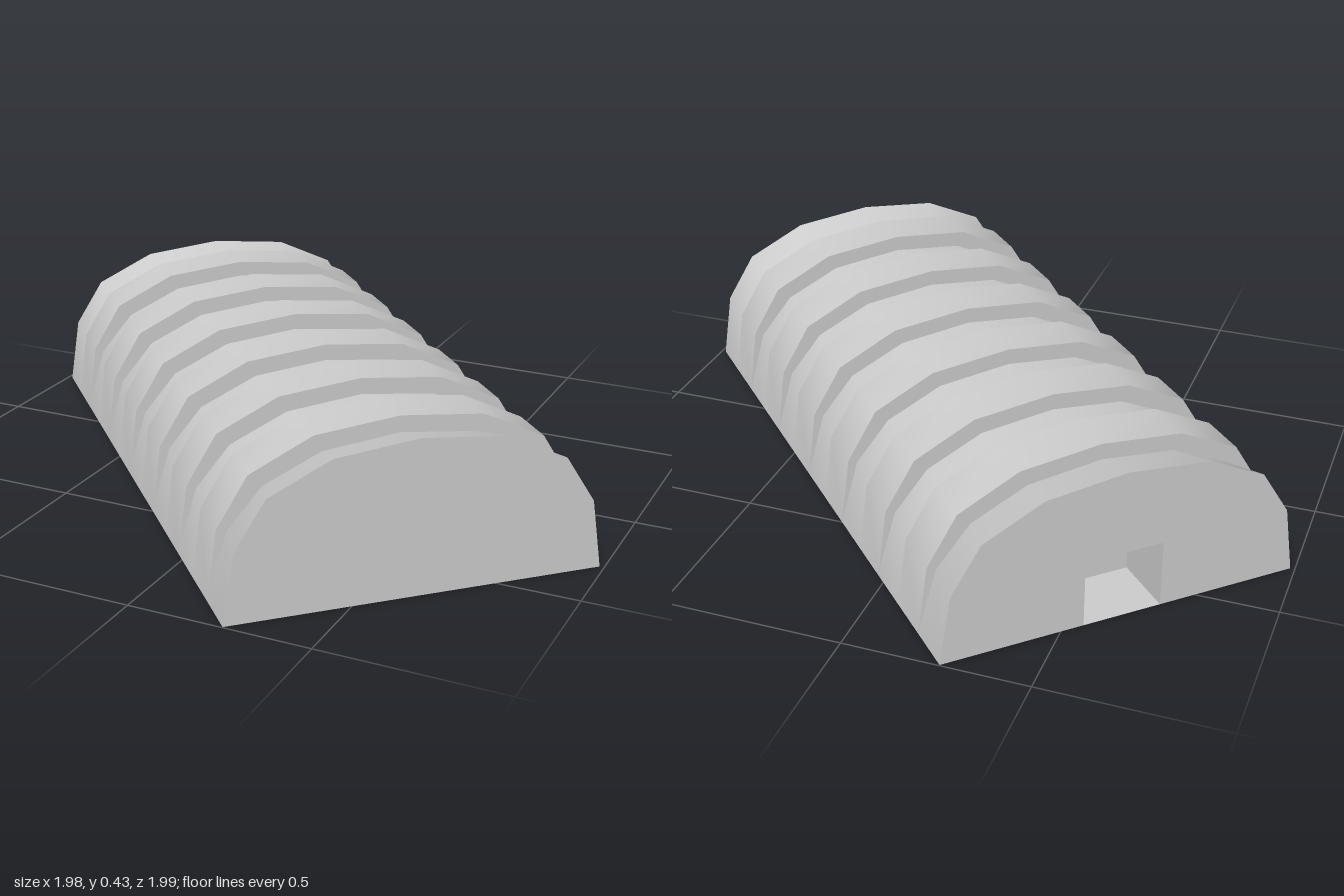
import * as THREE from 'three';
import { toCreasedNormals } from 'three/addons/utils/BufferGeometryUtils.js';

const HALF_LENGTH = 0.9, SEGMENTS = 13, TURN = 0.768;
const NOTCH = { half: 0.11, height: 0.19, depth: 0.18 };

// Half cross-sections from the base up to the ridge; mirrored into full arches
const arch = (half) => [...half, ...half.slice(0, -1).reverse().map(([x, y]) => [-x, y])];
const END = arch([[0.504, 0], [0.475, 0.19], [0.393, 0.32], [0.225, 0.4], [0, 0.424]]);
const RIB = arch([[0.504, 0], [0.478, 0.19], [0.396, 0.324], [0.227, 0.406], [0, 0.43]]);
const GROOVE = arch([[0.504, 0], [0.453, 0.18], [0.36, 0.29], [0.205, 0.362], [0, 0.385]]);

// Skin through a list of { z, profile } rings
function loft(rings) {
  const pos = [], index = [], n = rings[0].profile.length;
  rings.forEach(({ z, profile }) => profile.forEach(([x, y]) => pos.push(x, y, z)));
  for (let k = 0; k < rings.length - 1; k++) {
    for (let j = 0; j < n - 1; j++) {
      const a = k * n + j, b = a + 1, c = b + n, d = a + n;
      index.push(a, b, c, a, c, d);
    }
  }
  const g = new THREE.BufferGeometry();
  g.setAttribute('position', new THREE.Float32BufferAttribute(pos, 3));
  g.setIndex(index);
  return toCreasedNormals(g, 0.7);
}

export function createModel() {
  const model = new THREE.Group();
  const hut = new THREE.Group();
  hut.name = 'hut';
  hut.rotation.y = TURN;
  model.add(hut);

  const solid = new THREE.MeshStandardMaterial({ color: 0xcccccc });
  const thin = new THREE.MeshStandardMaterial({ color: 0xcccccc, side: THREE.DoubleSide });
  const add = (name, geometry, material = solid) => {
    const mesh = new THREE.Mesh(geometry, material);
    mesh.name = name;
    hut.add(mesh);
    return mesh;
  };

  // Ribbed roof: grooves and ribs alternate, the end grooves flare out to the end walls
  const rings = [];
  const step = (2 * HALF_LENGTH) / SEGMENTS;
  for (let i = 0; i < SEGMENTS; i++) {
    const z = -HALF_LENGTH + i * step;
    const body = i % 2 ? RIB : GROOVE;
    rings.push({ z, profile: i === 0 ? END : body });
    rings.push({ z: z + step, profile: i === SEGMENTS - 1 ? END : body });
  }
  add('ribbedRoof', loft(rings));

  // End walls; the back one has a doorway cut from its lower edge
  const outline = END.map(([x, y]) => new THREE.Vector2(x, y));
  const { half, height, depth } = NOTCH;
  const door = [[-half, 0], [-half, height], [half, height], [half, 0]]
    .map(([x, y]) => new THREE.Vector2(x, y));
  add('frontWall', new THREE.ShapeGeometry(new THREE.Shape(outline))).position.z = HALF_LENGTH;
  const back = add('backWall', new THREE.ShapeGeometry(new THREE.Shape([...outline, ...door])));
  back.rotation.y = Math.PI;
  back.position.z = -HALF_LENGTH;

  // Doorway recess
  const mid = -HALF_LENGTH + depth / 2;
  for (const s of [-1, 1]) {
    const jamb = add(s > 0 ? 'leftDoorJamb' : 'rightDoorJamb', new THREE.PlaneGeometry(depth, height), thin);
    jamb.rotation.y = -s * Math.PI / 2;
    jamb.position.set(s * half, height / 2, mid);
  }
  const lintel = add('doorLintel', new THREE.PlaneGeometry(2 * half, depth), thin);
  lintel.rotation.x = Math.PI / 2;
  lintel.position.set(0, height, mid);
  const panel = add('doorPanel', new THREE.PlaneGeometry(2 * half, height), thin);
  panel.rotation.y = Math.PI;
  panel.position.set(0, height / 2, -HALF_LENGTH + depth);

  // Floor
  const floor = add('floor', new THREE.PlaneGeometry(2 * END[0][0], 2 * HALF_LENGTH), thin);
  floor.rotation.x = Math.PI / 2;

  return model;
}
